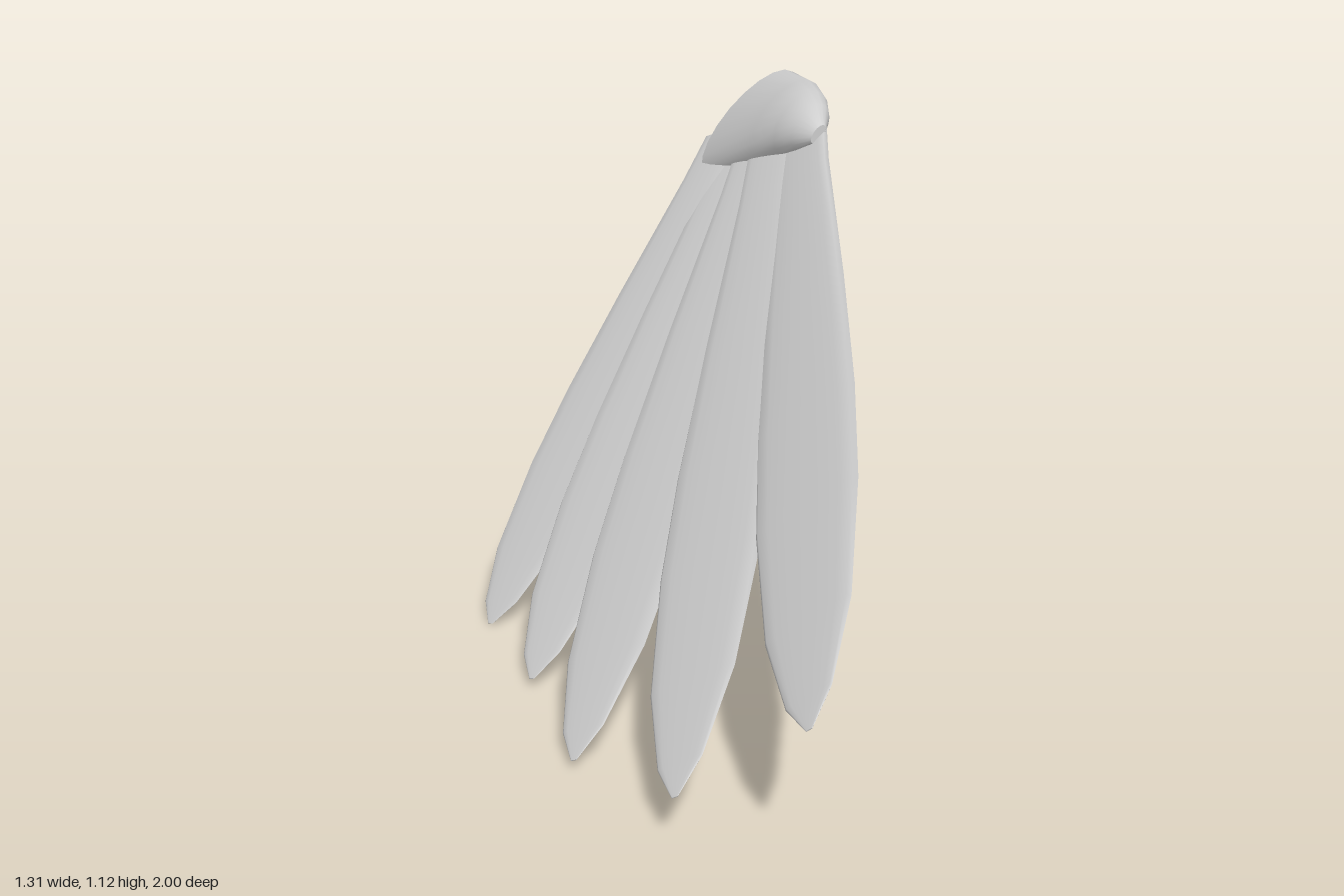
import * as THREE from 'three';

const V = (x, y, z) => new THREE.Vector3(x, y, z);

// Skin over rings of points (counter-clockwise about the direction of travel).
function loft(rings, capStart, capEnd) {
  const n = rings[0].length, pos = [], idx = [];
  const add = (p) => pos.push(p.x, p.y, p.z) / 3 - 1;
  rings.forEach((ring) => ring.forEach(add));
  for (let i = 0; i < rings.length - 1; i++) {
    for (let j = 0; j < n; j++) {
      const a = i * n + j, b = i * n + (j + 1) % n;
      idx.push(a, b, a + n, b, b + n, a + n);
    }
  }
  // End faces have their own vertices so their edges stay sharp
  const cap = (ring, flip) => {
    const ids = ring.map(add);
    for (let j = 1; j < n - 1; j++) {
      if (flip) idx.push(ids[0], ids[j + 1], ids[j]);
      else idx.push(ids[0], ids[j], ids[j + 1]);
    }
  };
  if (capStart) cap(rings[0], true);
  if (capEnd) cap(rings[rings.length - 1], false);
  const g = new THREE.BufferGeometry();
  g.setAttribute('position', new THREE.Float32BufferAttribute(pos, 3));
  g.setIndex(idx);
  g.computeVertexNormals();
  return g;
}

// Feather blade: [fraction from root, half width, half thickness]
const BLADE = [
  [0, 0.08, 0.012], [0.1, 0.085, 0.013], [0.35, 0.12, 0.014], [0.55, 0.14, 0.014],
  [0.7, 0.14, 0.013], [0.86, 0.112, 0.01], [0.96, 0.058, 0.005], [1, 0.008, 0.001],
];

function featherGeometry(root, tip, roll) {
  const d = tip.clone().sub(root).normalize();
  const n = V(d.y, -d.x, 0).normalize().applyAxisAngle(d, roll);
  const w = n.clone().cross(d);
  const sides = 16;
  const rings = BLADE.map(([t, half, thick]) => {
    const c = root.clone().lerp(tip, t);
    return Array.from({ length: sides }, (_, j) => {
      const a = (j / sides) * Math.PI * 2;
      // flattened oval: broad faces with rounded rims
      const s = Math.sign(Math.sin(a)) * Math.sqrt(Math.abs(Math.sin(a)));
      return c.clone().addScaledVector(w, Math.cos(a) * half).addScaledVector(n, s * thick);
    });
  });
  return loft(rings, true, true);
}

// Shell covering the roots: [z, centre x, centre y, half length, half thickness, rim skew]
const SHELL = [
  [-0.885, 0.522, 0.98, 0.18, 0.062, 1], [-0.7, 0.525, 1.02, 0.13, 0.075, 0.2],
  [-0.61, 0.517, 1.035, 0.097, 0.065, 0], [-0.55, 0.507, 1.04, 0.068, 0.046, 0],
  [-0.5, 0.5, 1.035, 0.028, 0.015, 0],
];

function shellGeometry() {
  const sides = 20;
  const rings = SHELL.map(([z, x, y, a, b, skew]) =>
    Array.from({ length: sides }, (_, j) => {
      const t = (j / sides) * Math.PI * 2, c = Math.cos(t), s = Math.sin(t);
      return V(x + 0.68 * a * c - 0.73 * b * s, y + 0.73 * a * c + 0.68 * b * s,
        z + skew * (0.022 * c - 0.025 * s));
    }));
  return loft(rings, false, true);
}

export function createModel() {
  const model = new THREE.Group();
  model.name = 'featherFan';
  const mat = new THREE.MeshStandardMaterial({ color: 0xcccccc });
  const shellMat = new THREE.MeshStandardMaterial({ color: 0xcccccc, side: THREE.DoubleSide });

  // Five feathers fanned from front to back: root, tip, roll
  const feathers = [
    [V(0.52, 1.015, -0.61), V(-0.44, 0.33, 0.99), 0.2],
    [V(0.48, 0.97, -0.69), V(-0.61, 0.12, 0.77), 0.1],
    [V(0.5, 0.97, -0.78), V(-0.655, 0.03, 0.405), 0.05],
    [V(0.5, 0.955, -0.86), V(-0.58, 0.03, 0.035), 0],
    [V(0.48, 0.945, -0.93), V(-0.535, 0.01, -0.3), 0],
  ];
  feathers.forEach(([root, tip, roll], i) => {
    const feather = new THREE.Mesh(featherGeometry(root, tip, roll), mat);
    feather.name = `feather${i + 1}`;
    model.add(feather);
  });

  // Open-backed shell over the roots
  const shell = new THREE.Mesh(shellGeometry(), shellMat);
  shell.name = 'rootShell';
  model.add(shell);
  return model;
}
